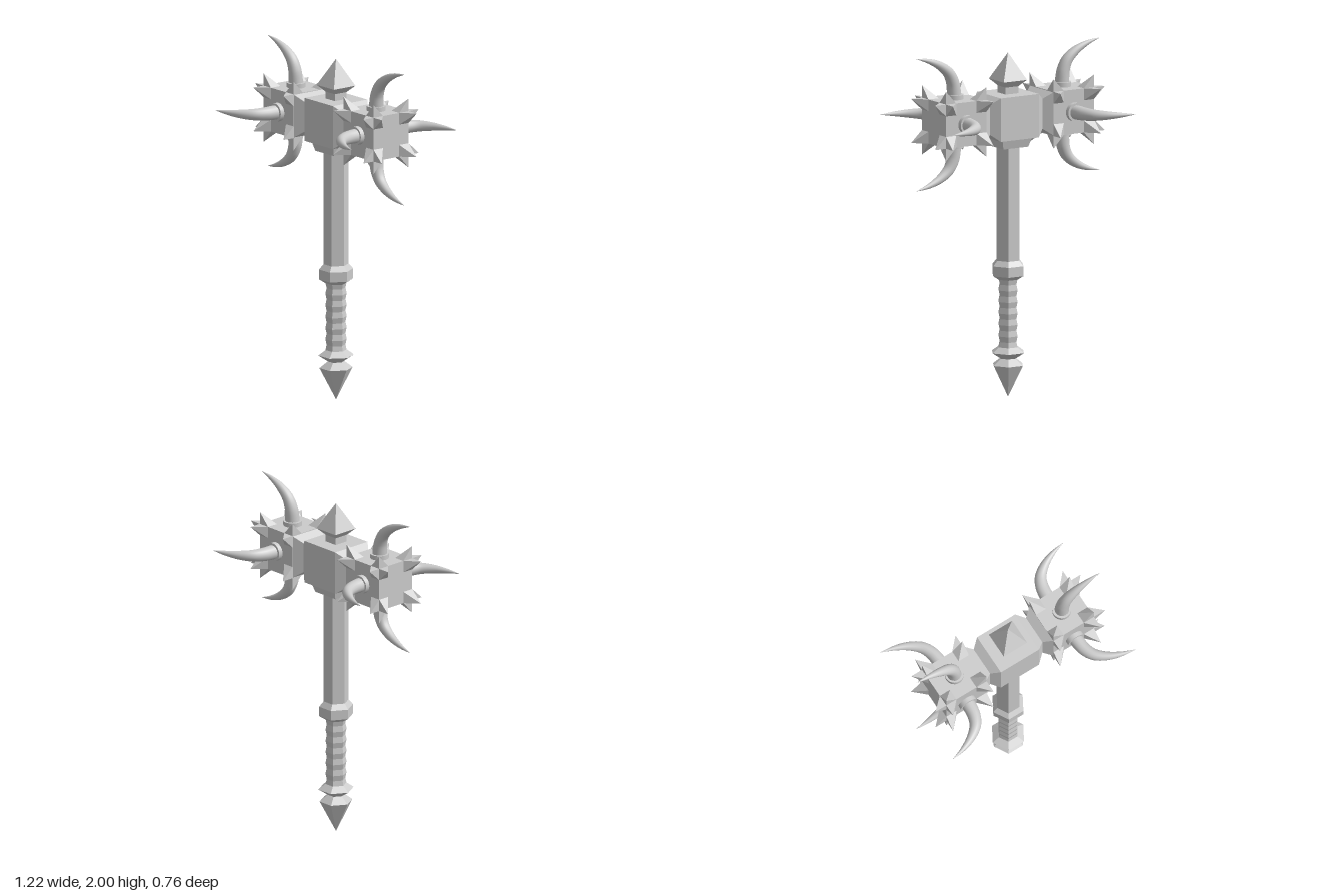
import * as THREE from 'three';

const flat = new THREE.MeshStandardMaterial({ color: 0xcccccc, flatShading: true });
const smooth = new THREE.MeshStandardMaterial({ color: 0xcccccc });
const HEAD_Y = 1.62;

function add(parent, name, geometry, material = flat) {
  const mesh = new THREE.Mesh(geometry, material);
  mesh.name = name;
  parent.add(mesh);
  return mesh;
}

// Faceted solid from [radius, height] pairs, listed bottom to top
function facet(profile, sides) {
  const points = profile.map(([r, y]) => new THREE.Vector2(r, y));
  return new THREE.LatheGeometry(points, sides).rotateY(Math.PI / sides);
}

// Square solid from [half width, height] pairs
const square = (profile) => facet(profile.map(([w, y]) => [w * Math.SQRT2, y]), 4);

// Four-sided spike whose tip leans out over one corner of its base
function spikeGeometry(sx, sz, size = 0.068, height = 0.073) {
  const g = new THREE.ConeGeometry(size / Math.SQRT2, height, 4, 1)
    .rotateY(Math.PI / 4).translate(0, height / 2, 0);
  const p = g.attributes.position;
  for (let i = 0; i < p.count; i++) {
    const lean = (p.getY(i) / height) * size / 2;
    p.setX(i, p.getX(i) + sx * lean);
    p.setZ(i, p.getZ(i) + sz * lean);
  }
  return g;
}

// Curved horn: a tube whose rings shrink towards the tip
function hornGeometry() {
  const path = new THREE.CatmullRomCurve3([
    [0, 0.12], [0.002, 0.16], [0.01, 0.22], [0.037, 0.277],
    [0.095, 0.325], [0.17, 0.359], [0.252, 0.38],
  ].map(([x, y]) => new THREE.Vector3(x, y, 0)));
  const rings = 28, sides = 16;
  const g = new THREE.TubeGeometry(path, rings, 1, sides);
  const p = g.attributes.position, v = new THREE.Vector3();
  for (let i = 0; i <= rings; i++) {
    const t = i / rings, centre = path.getPointAt(t);
    const radius = 0.041 * (1 - Math.pow(t, 1.7)) + 0.0005;
    for (let j = 0; j <= sides; j++) {
      const k = i * (sides + 1) + j;
      v.fromBufferAttribute(p, k).sub(centre).multiplyScalar(radius).add(centre);
      p.setXYZ(k, v.x, v.y, v.z);
    }
  }
  return g;
}

function addSpikes(face, halfX, halfZ, level) {
  for (const sx of [-1, 1]) for (const sz of [-1, 1]) {
    add(face, 'spike', spikeGeometry(sx, sz))
      .position.set(sx * (halfX - 0.034), level, sz * (halfZ - 0.034));
  }
}

// Spiked block with four horns, pointing along +x
function createStrikingBlock(name) {
  const block = new THREE.Group();
  block.name = name;
  const body = new THREE.Group();
  body.name = 'spikedBlock';
  body.position.x = 0.359;
  block.add(body);
  add(body, 'cube', new THREE.BoxGeometry(0.27, 0.254, 0.254));

  const horn = hornGeometry();
  const socket = new THREE.CylinderGeometry(0.053, 0.053, 0.034, 24).translate(0, 0.136, 0);
  for (let k = 0; k < 4; k++) {
    const side = new THREE.Group();
    side.name = 'hornedSide';
    side.rotation.x = k * Math.PI / 2;
    add(side, 'horn', horn, smooth);
    add(side, 'hornSocket', socket, smooth);
    addSpikes(side, 0.135, 0.127, 0.127);
    body.add(side);
  }

  const end = new THREE.Group();
  end.name = 'outerFace';
  end.rotation.z = -Math.PI / 2;
  addSpikes(end, 0.127, 0.127, 0.135);
  body.add(end);
  return block;
}

export function createModel() {
  const model = new THREE.Group();
  model.name = 'warHammer';

  // Handle, all six-sided
  add(model, 'pommel', facet([
    [0, 0], [0.095, 0.185], [0.047, 0.222], [0.102, 0.258], [0.055, 0.292], [0, 0.292],
  ], 6));
  const grip = [];
  for (let i = 0; i <= 24; i++) {
    grip.push([0.0575 + 0.0035 * Math.cos(i * Math.PI / 2), 0.285 + i * 0.0165]);
  }
  add(model, 'grip', facet(grip, 6));
  add(model, 'collar', facet([
    [0, 0.675], [0.058, 0.675], [0.098, 0.7], [0.098, 0.757], [0.072, 0.787], [0, 0.787],
  ], 6));
  add(model, 'shaft', facet([[0.072, 0.78], [0.072, 1.46]], 6));

  // Head
  add(model, 'headSocket', square([[0, 1.44], [0.083, 1.44], [0.1, 1.5]]));
  add(model, 'headCore', square([
    [0.125, -0.226], [0.086, -0.175], [0.125, -0.127],
    [0.125, 0.127], [0.086, 0.175], [0.125, 0.226],
  ]).rotateZ(Math.PI / 2)).position.y = HEAD_Y;
  add(model, 'finial', square([
    [0.042, 1.74], [0.042, 1.785], [0.078, 1.823], [0, 1.977],
  ]));

  // Matching striking blocks on both sides
  const left = createStrikingBlock('leftStrikingBlock');
  const right = createStrikingBlock('rightStrikingBlock');
  right.rotation.y = Math.PI;
  left.position.y = right.position.y = HEAD_Y;
  model.add(left, right);
  return model;
}
